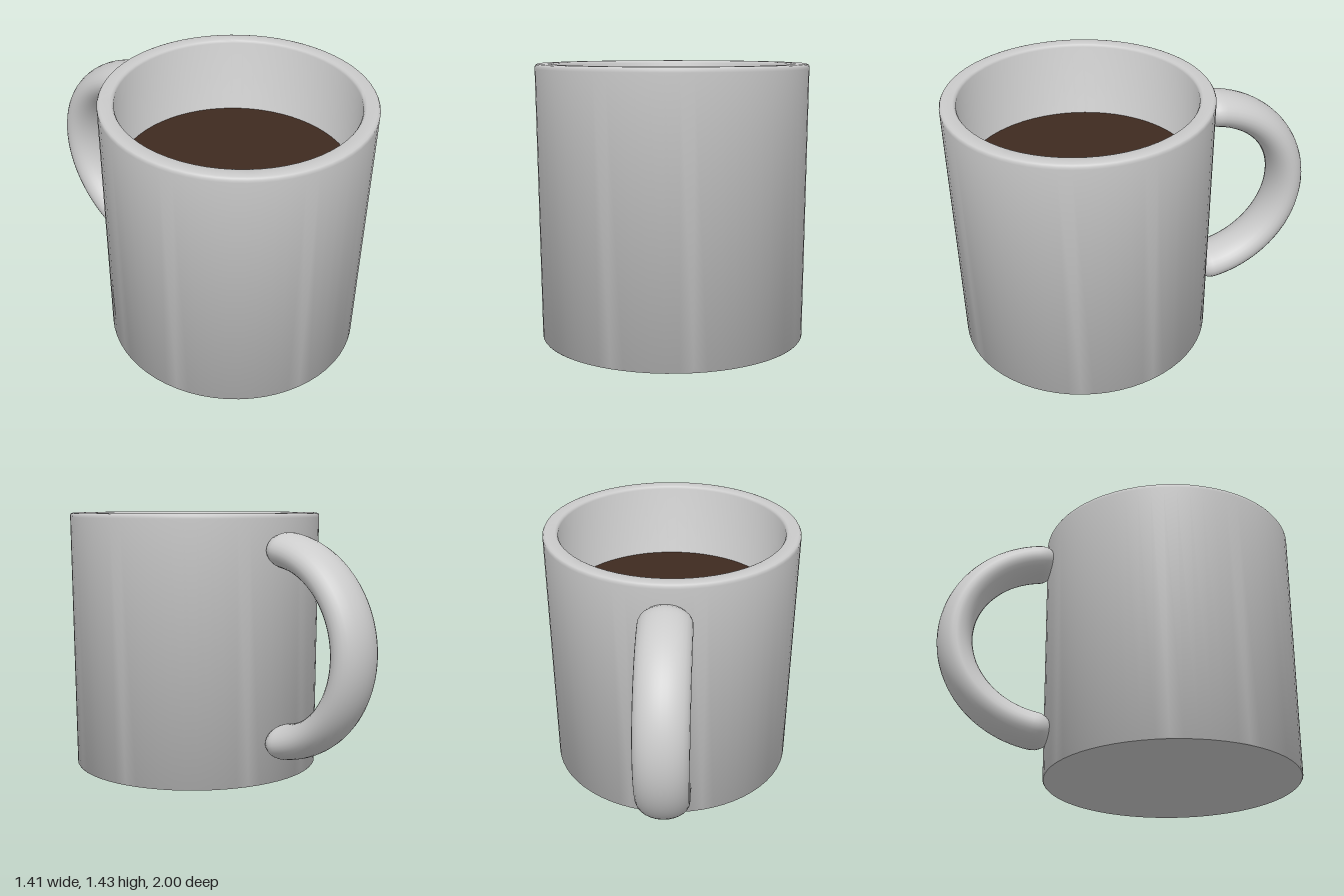
import * as THREE from 'three';
import { toCreasedNormals } from 'three/addons/utils/BufferGeometryUtils.js';

const CENTRE_Z = 0.295;

// Loop handle: elliptical sections swept along a half ring, with rounded ends
function handleGeometry(steps = 72, sides = 28) {
  const positions = [], indices = [];
  const endAngle = 1.599;
  for (let i = 0; i <= steps; i++) {
    const a = endAngle * (1 - (2 * i) / steps);
    const y = 0.735 + 0.511 * Math.sin(a);
    const z = -0.375 - 0.53 * Math.cos(a);
    const fromEnd = Math.min(1, Math.max(0, (-0.36 - z) / 0.1));
    const k = Math.sqrt(1 - (1 - fromEnd) ** 2);
    for (let j = 0; j < sides; j++) {
      const b = (j / sides) * Math.PI * 2;
      const out = 0.095 * k * Math.cos(b);
      positions.push(0.14 * k * Math.sin(b), y + out * Math.sin(a), z - out * Math.cos(a));
      if (i < steps) {
        const p = i * sides + j, q = i * sides + ((j + 1) % sides);
        indices.push(p, q, p + sides, q, q + sides, p + sides);
      }
    }
  }
  const geometry = new THREE.BufferGeometry();
  geometry.setAttribute('position', new THREE.Float32BufferAttribute(positions, 3));
  geometry.setIndex(indices);
  geometry.computeVertexNormals();
  return geometry;
}

export function createModel() {
  const group = new THREE.Group();
  group.name = 'mug';
  const grey = new THREE.MeshStandardMaterial({ color: 0xcccccc });
  const brown = new THREE.MeshStandardMaterial({ color: 0x3f2a20 });
  const add = (name, geometry, material) => {
    const mesh = new THREE.Mesh(geometry, material);
    mesh.name = name;
    group.add(mesh);
    return mesh;
  };

  // Cup wall: slightly flared outside, softened rim, hollow inside with a floor
  const profile = [
    [0, 0], [0.686, 0], [0.69, 0.005], [0.704, 1.405], [0.704, 1.417], [0.699, 1.426], [0.688, 1.43],
    [0.636, 1.43], [0.626, 1.426], [0.62, 1.415], [0.618, 0.12], [0.6, 0.1], [0, 0.1],
  ].map(([x, y]) => new THREE.Vector2(x, y));
  const cup = add('cup', toCreasedNormals(new THREE.LatheGeometry(profile, 64), 0.75), grey);
  cup.position.z = CENTRE_Z;

  // Drink surface
  const drink = add('drink', new THREE.CircleGeometry(0.62, 64), brown);
  drink.rotation.x = -Math.PI / 2;
  drink.position.set(0, 1.0, CENTRE_Z);

  add('handle', handleGeometry(), grey);
  return group;
}
